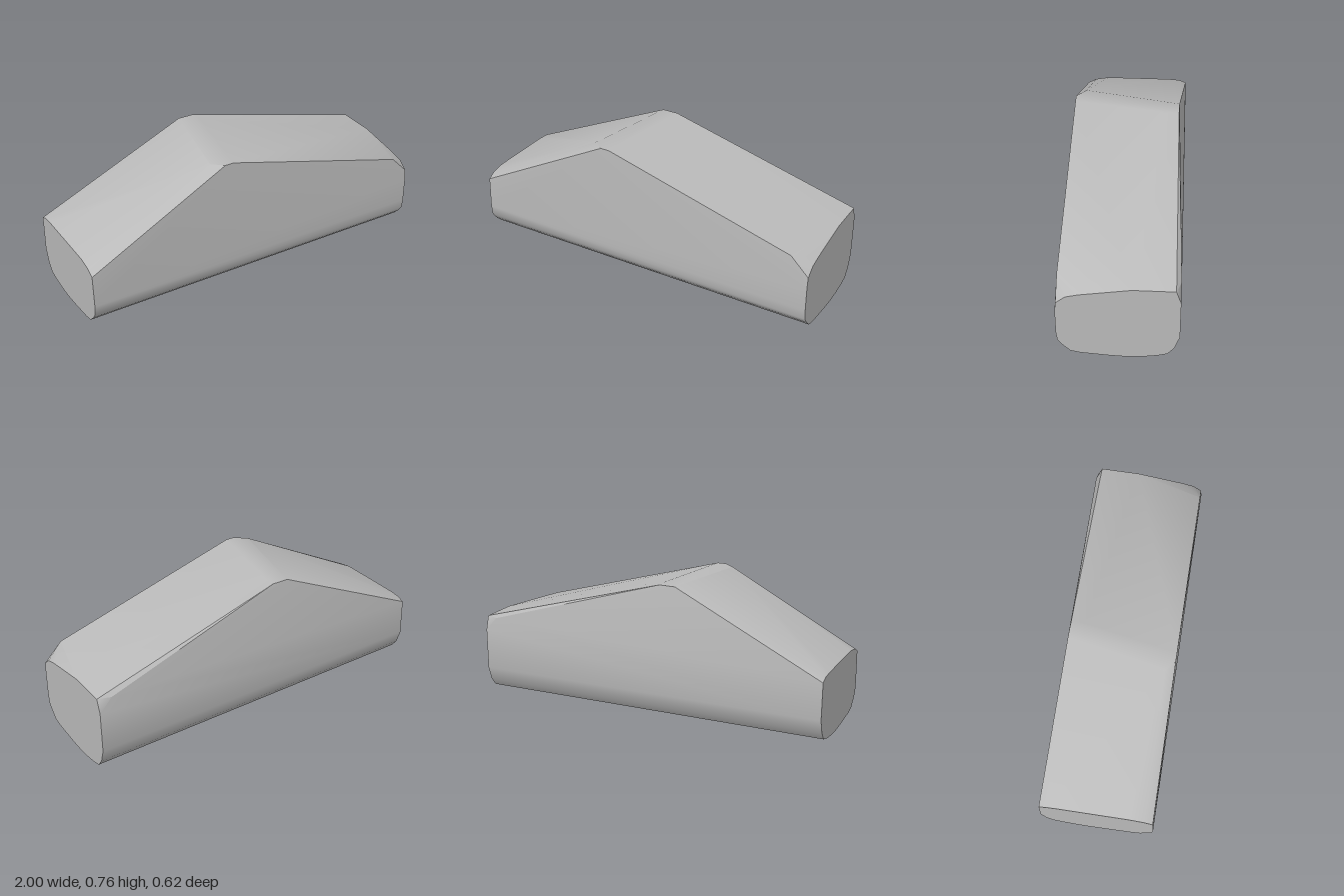
import * as THREE from 'three';
import { ConvexGeometry } from 'three/addons/geometries/ConvexGeometry.js';
import { toCreasedNormals } from 'three/addons/utils/BufferGeometryUtils.js';

export function createModel() {
  const group = new THREE.Group();
  const grey = new THREE.MeshStandardMaterial({ color: 0xbababa });
  grey.name = 'plain grey';

  // Rounded underside shared by both ends, as [z, y]
  const underside = [
    [-0.31, 0.155], [-0.285, 0.078], [-0.25, 0.033], [-0.2, 0.018], [-0.13, 0.007],
    [-0.05, 0.001], [0.04, 0.005], [0.19, 0.018], [0.24, 0.03], [0.28, 0.07],
    [0.304, 0.105], [0.31, 0.16], [0.31, 0.3],
  ];
  // Upper outlines of the two ends, as [z, y]
  const tallTop = [[0.304, 0.36], [0.255, 0.401], [0.19, 0.418], [-0.07, 0.461], [-0.285, 0.461], [-0.31, 0.385]];
  const lowTop = [[0.304, 0.36], [0.26, 0.385], [0.18, 0.4], [-0.2, 0.4], [-0.265, 0.395], [-0.306, 0.378]];

  const points = [];
  const addSection = (x, outline, lift = 0) =>
    outline.forEach(([z, y]) => points.push(new THREE.Vector3(x, y + lift, z)));

  addSection(1, [...underside, ...tallTop]);
  addSection(-1, underside.slice(0, -1), 0.02);
  addSection(-1, lowTop);

  // Narrow, slightly slanted ridge at the peak, as [x, z]
  [[-0.28, 0.25], [-0.22, 0.302], [-0.17, 0.302], [-0.08, -0.2], [-0.08, -0.27], [-0.17, -0.272]]
    .forEach(([x, z]) => points.push(new THREE.Vector3(x, 0.765, z)));

  // Clipped corners near the tall end
  points.push(new THREE.Vector3(0.9, 0.461, 0.304), new THREE.Vector3(0.93, 0.461, -0.309));

  const body = new THREE.Mesh(toCreasedNormals(new ConvexGeometry(points), 0.59), grey);
  body.name = 'wedgeBody';
  group.add(body);
  return group;
}
